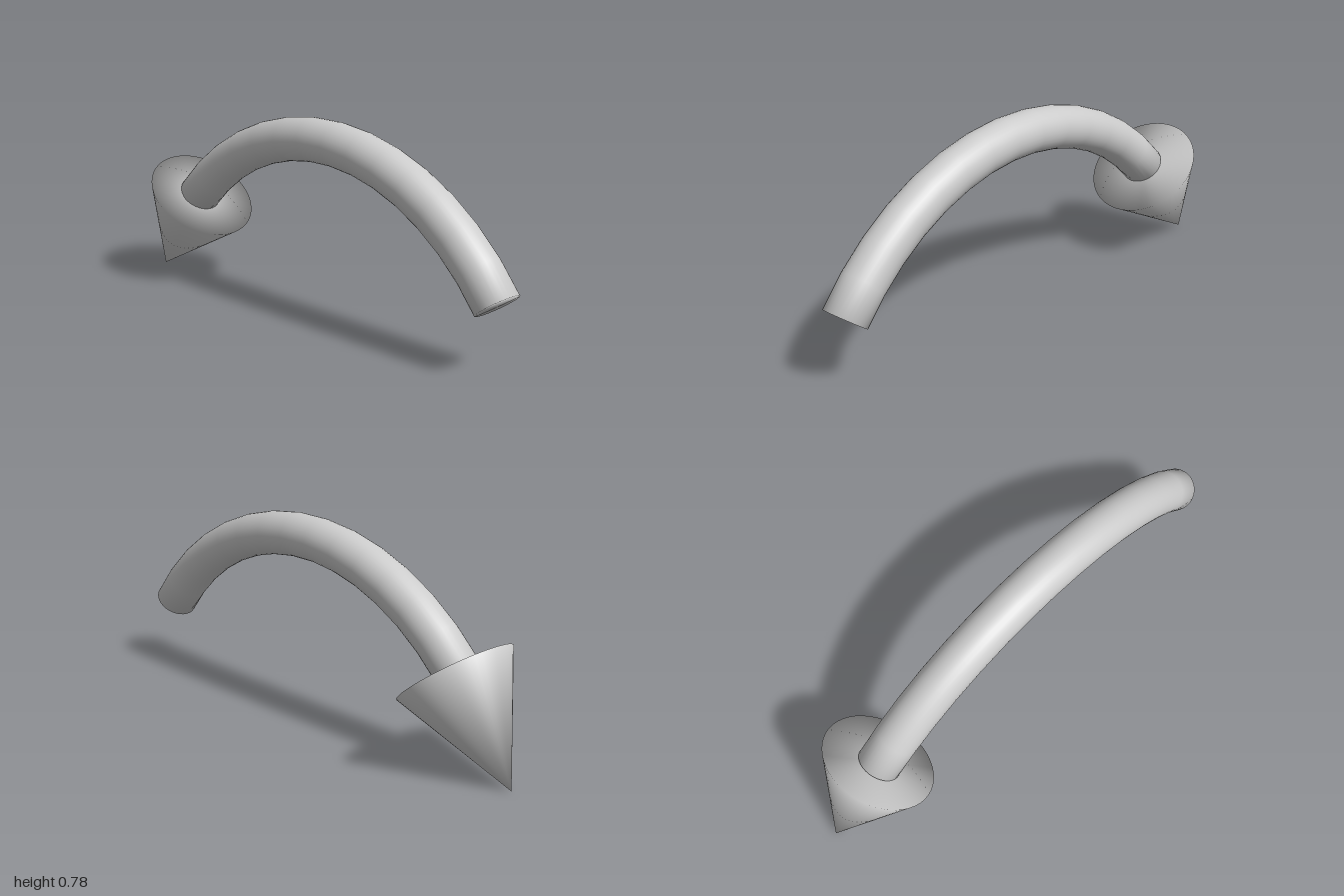
import * as THREE from 'three';
import { mergeVertices } from 'three/addons/utils/BufferGeometryUtils.js';

const material = new THREE.MeshStandardMaterial({ color: 0xcccccc });

// Weld the caps to the sides so the normals run smoothly over every edge
function weld(geometry) {
  geometry.deleteAttribute('uv');
  geometry.deleteAttribute('normal');
  const welded = mergeVertices(geometry, 1e-4);
  welded.computeVertexNormals();
  return welded;
}

// Closed cylinder bent along an arc in the y-z plane
function bentShaft() {
  const radius = 0.0855, arcRadius = 1.084;
  const start = THREE.MathUtils.degToRad(53.6), end = THREE.MathUtils.degToRad(-46.5);
  const geometry = new THREE.CylinderGeometry(radius, radius, 1, 32, 14);
  const p = geometry.attributes.position;
  for (let i = 0; i < p.count; i++) {
    const angle = THREE.MathUtils.lerp(start, end, p.getY(i) + 0.5);
    const rho = arcRadius + p.getZ(i);
    p.setXYZ(i, p.getX(i) - 0.008, -0.384 + rho * Math.cos(angle), 0.06 + rho * Math.sin(angle));
  }
  return weld(geometry);
}

export function createModel() {
  const model = new THREE.Group();
  model.name = 'curvedArrow';

  const shaft = new THREE.Mesh(bentShaft(), material);
  shaft.name = 'shaft';
  model.add(shaft);

  // Cone head from the shaft's end down to its tip on the ground
  const base = new THREE.Vector3(0, 0.3575, -0.7225);
  const tip = new THREE.Vector3(0, 0, -1);
  const axis = tip.clone().sub(base);
  const head = new THREE.Mesh(weld(new THREE.ConeGeometry(0.2255, axis.length(), 48)), material);
  head.name = 'arrowhead';
  head.position.lerpVectors(base, tip, 0.5);
  head.quaternion.setFromUnitVectors(new THREE.Vector3(0, 1, 0), axis.normalize());
  model.add(head);

  return model;
}
